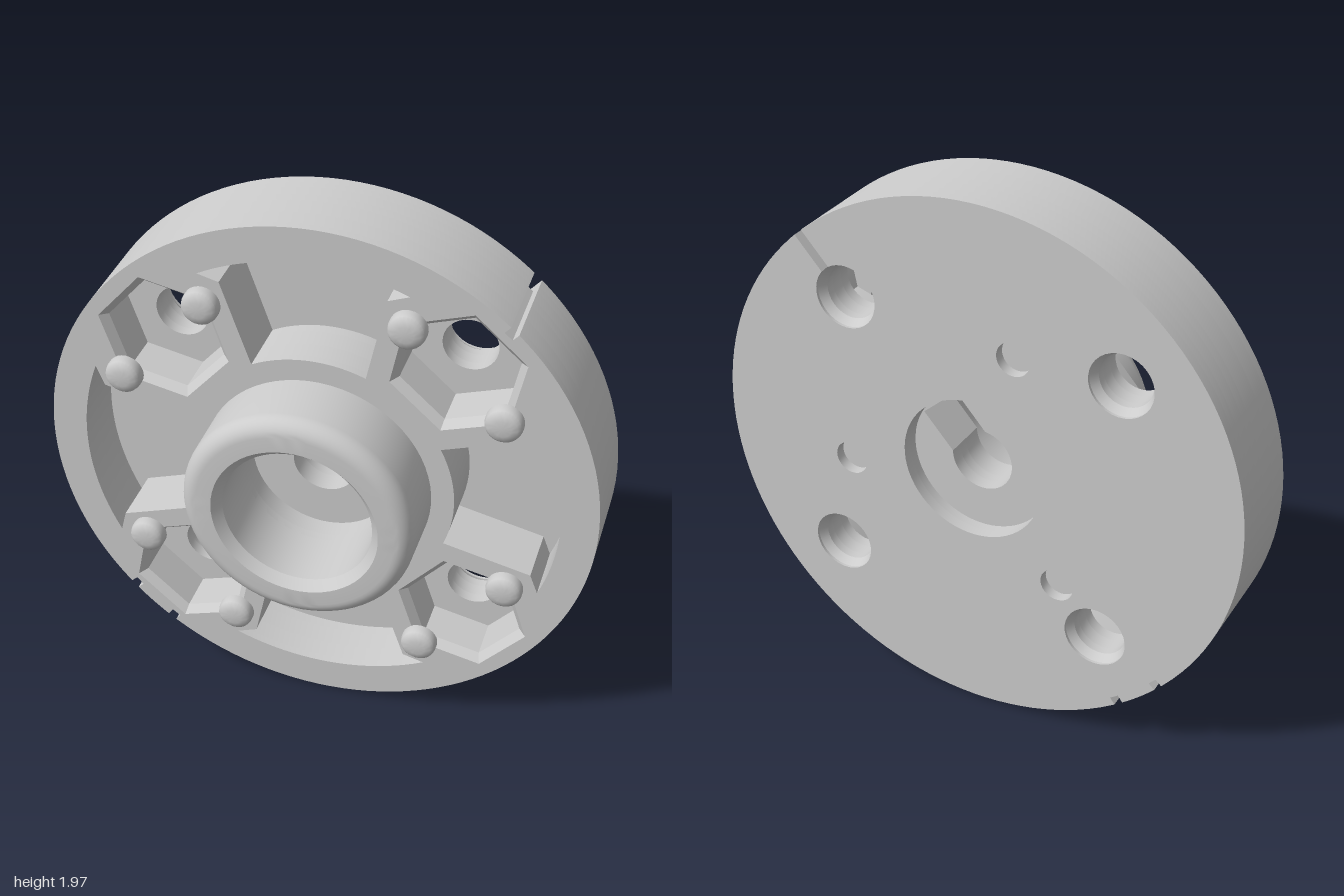
import * as THREE from 'three';
import { toCreasedNormals } from 'three/addons/utils/BufferGeometryUtils.js';

const R = 0.985, BOLT_R = 0.72, HW = 0.018;
const DEG = Math.PI / 180;
const QUARTERS = [0, 90, 180, 270];
const grey = new THREE.MeshStandardMaterial({ color: 0xcccccc });
const greyDouble = new THREE.MeshStandardMaterial({ color: 0xcccccc, side: THREE.DoubleSide });

const polar = (r, deg) => new THREE.Vector2(r * Math.cos(deg * DEG), r * Math.sin(deg * DEG));
const turn = (p, deg) => p.clone().rotateAround(new THREE.Vector2(), deg * DEG);

function arc(r, from, to, n, cx = 0) {
  const pts = [];
  for (let i = 0; i <= n; i++) {
    const p = polar(r, from + (to - from) * i / n);
    p.x += cx;
    pts.push(p);
  }
  return pts;
}

const circle = (r, n = 48, cx = 0, deg = 0) =>
  arc(r, 0, 360, n, cx).slice(0, n).map(p => turn(p, deg));

// Rim outline with a locating groove at 0 degrees and two index notches opposite
function rimOutline(openSlot) {
  const notch = (deg, depth) => [[R, -HW], [R - depth, -HW], [R - depth, HW], [R, HW]]
    .map(([x, y]) => turn(new THREE.Vector2(Math.sqrt(x * x - y * y), y), deg));
  let slot = notch(0, 0.03);
  if (openSlot) {
    const r = 0.115, d = Math.asin(HW / r) / DEG;
    slot = [slot[0], ...arc(r, -d, d - 360, 40, BOLT_R), slot[3]];
  }
  return [...slot, ...arc(R, 2, 172.5, 60), ...notch(174.4, 0.03),
    ...arc(R, 177, 183, 3), ...notch(185.6, 0.03), ...arc(R, 187.5, 358, 60)];
}

// Hexagonal nut seat with corners in the tangential directions
const hexHole = (r, deg) => [0, 1, 2, 3, 4, 5].map(i => {
  const p = polar(r, 90 + i * 60);
  p.x += BOLT_R;
  return turn(p, deg);
});

// Lightening pocket between the nut seats, with flared outer corners
const sectorHole = deg => [
  ...arc(0.49, 24, -24, 14), new THREE.Vector2(0.755, -0.285),
  ...arc(0.858, -24.8, 24.8, 20), new THREE.Vector2(0.755, 0.285),
].map(p => turn(p, deg));

// Central shaft hole with keyway
function keyHole() {
  const a = Math.asin(0.085 / 0.115) / DEG;
  return [...arc(0.115, a, 360 - a, 30), new THREE.Vector2(0.245, -0.085), new THREE.Vector2(0.245, 0.085)];
}

function lathe(points, segments) {
  const g = new THREE.LatheGeometry(points.map(p => new THREE.Vector2(p[0], p[1])), segments);
  g.rotateX(Math.PI / 2);
  return toCreasedNormals(g, 0.6);
}

export function createModel() {
  const root = new THREE.Group();
  root.name = 'wheelHub';
  const body = new THREE.Group();
  body.name = 'tiltedBody';
  body.rotation.set(0, 7.2 * DEG, 48.6 * DEG);
  body.position.set(0.012, R, 0);
  root.add(body);

  const add = (geometry, name, material = grey) => {
    const mesh = new THREE.Mesh(geometry, material);
    mesh.name = name;
    body.add(mesh);
    return mesh;
  };

  const layer = (name, z0, z1, holes, openSlot = false) => {
    const shape = new THREE.Shape(rimOutline(openSlot));
    shape.holes = holes.map(h => new THREE.Path(h));
    const g = new THREE.ExtrudeGeometry(shape, { depth: z1 - z0, bevelEnabled: false });
    g.translate(0, 0, z0);
    add(toCreasedNormals(g, 0.3), name);
  };

  // Disc, stacked from back to front
  const bolts = QUARTERS.map(a => circle(0.096, 32, BOLT_R, a));
  const sectors = QUARTERS.map(a => sectorHole(a + 45));
  const hexes = QUARTERS.map(a => hexHole(0.21, a));
  const bore = circle(0.265, 64);
  layer('backFace', -0.263, -0.223, [
    bore,
    ...[90, 180, 270].map(a => circle(0.115, 32, BOLT_R, a)),
    ...[60, 180, 300].map(a => circle(0.062, 28, 0.495, a)),
  ], true);
  layer('backRecessLayer', -0.223, -0.19, [bore, ...bolts]);
  layer('centralWeb', -0.19, -0.14, [keyHole(), ...bolts]);
  layer('pocketFloorLayer', -0.14, -0.10, [keyHole(), ...bolts, ...sectors]);
  layer('nutSeatLayer', -0.10, -0.02, [keyHole(), ...sectors, ...hexes]);
  layer('ribLayer', -0.02, 0.05, [bore, ...sectors, ...hexes]);
  layer('frontFace', 0.05, 0.08, [bore, ...sectors, ...QUARTERS.map(a => hexHole(0.238, a))]);

  // Hub collar with rounded outer lip and chamfered bore
  const fillet = [];
  for (let i = 0; i <= 8; i++) {
    const t = i / 8 * Math.PI / 2;
    fillet.push([0.35 + 0.06 * Math.cos(t), 0.275 + 0.06 * Math.sin(t)]);
  }
  add(lathe([[0.41, 0.07], ...fillet, [0.295, 0.335], [0.265, 0.30], [0.265, 0.05]], 64), 'hubCollar', greyDouble);

  // Retaining knob profile
  const knob = [[0, 0.07], [0.055, 0.07], [0.065, 0.078], [0.065, 0.10], [0.061, 0.115],
    [0.05, 0.125], [0.03, 0.13], [0, 0.131]];
  const knobGeometry = lathe(knob, 28);

  for (const a of QUARTERS) {
    const c = polar(BOLT_R, a);
    // Chamfered lip of the nut seat
    const lip = new THREE.CylinderGeometry(0.238, 0.21, 0.03, 6, 1, true);
    lip.rotateX(Math.PI / 2);
    const lipMesh = add(toCreasedNormals(lip, 0.3), 'nutSeatChamfer', greyDouble);
    lipMesh.position.set(c.x, c.y, 0.065);
    lipMesh.rotation.z = a * DEG;
    // Countersink on the back of the bolt hole
    const sink = new THREE.CylinderGeometry(0.096, 0.115, 0.03, 32, 1, true);
    sink.rotateX(Math.PI / 2);
    add(sink, 'boltCountersink', greyDouble).position.set(c.x, c.y, -0.238);
    // Two knobs on opposite corners of each nut seat
    for (const s of [-1, 1]) {
      const p = turn(new THREE.Vector2(BOLT_R, s * 0.222), a);
      add(knobGeometry, 'retainingKnob').position.set(p.x, p.y, 0);
    }
  }
  return root;
}
